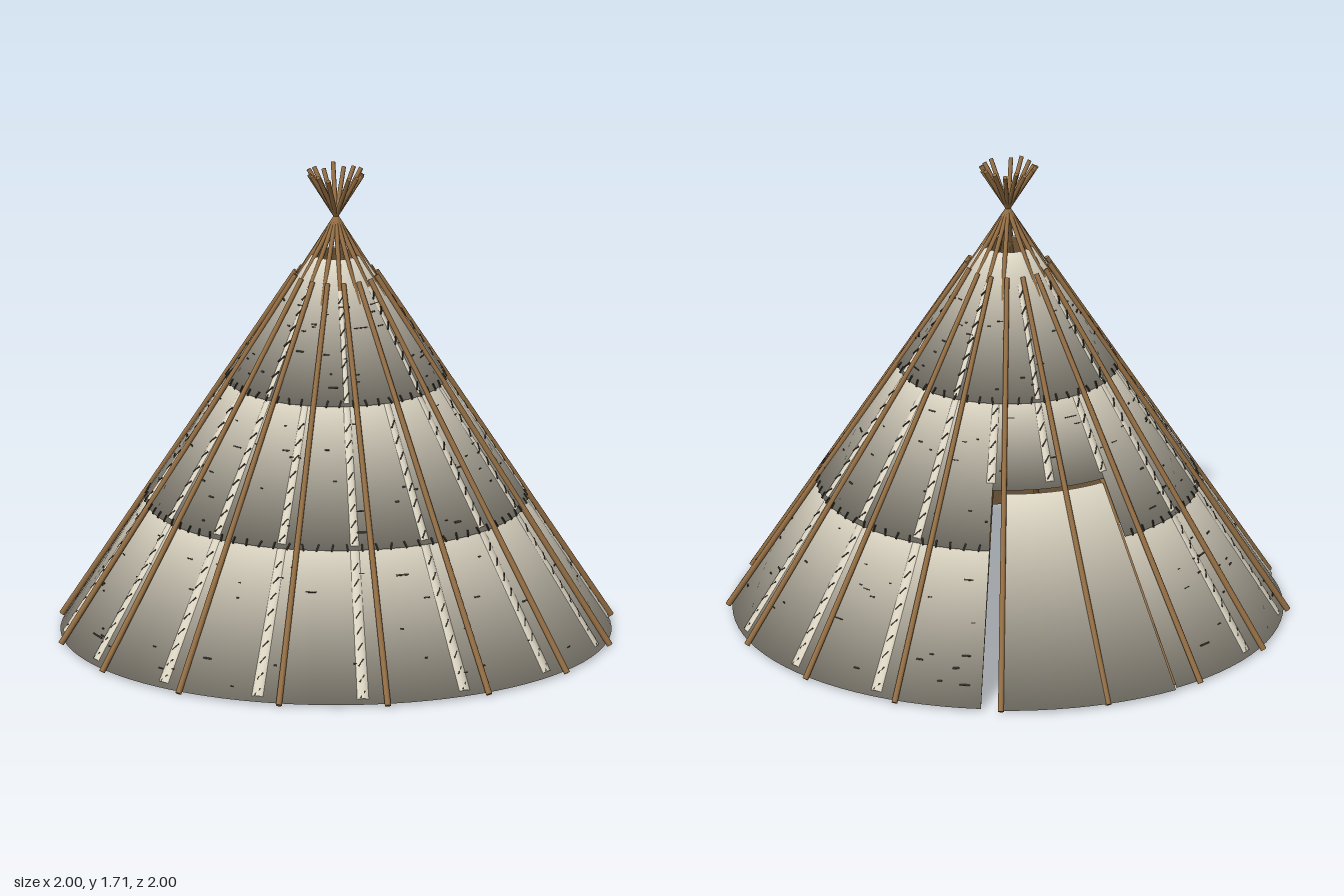
import * as THREE from 'three';
import { mergeGeometries } from 'three/addons/utils/BufferGeometryUtils.js';

const mat = (name, color) => Object.assign(new THREE.MeshStandardMaterial({ color }), { name });
const RAD = Math.PI / 180;
const STEP = 22.5;
const THICK = 0.012;
const SLOPE = Math.atan(0.64);

// Three overlapping rings of bark: bottom and top height, outward flare at the bottom
const TIERS = [
  { y0: 0.01, y1: 0.53, flare: 0, ticks: 0, flecks: 110, ridge: 0.034 },
  { y0: 0.495, y1: 0.97, flare: 0.01, ticks: 80, flecks: 100, ridge: 0.025 },
  { y0: 0.945, y1: 1.4, flare: 0.01, ticks: 52, flecks: 70, ridge: 0.015 },
];
const DOOR = { from: 162, to: 200.7, gap: 21.7, top: 0.665, lintel: 0.68 };

const coneR = (y) => 0.982 - 0.642 * (y - 0.01);
const tierR = (t, y) => coneR(y) + t.flare * (t.y1 - y) / (t.y1 - t.y0);
const polar = (deg, r, y) => new THREE.Vector3(r * Math.sin(deg * RAD), y, r * Math.cos(deg * RAD));

export function createModel() {
  const model = new THREE.Group();
  model.name = 'barkTent';
  const bark = mat('birch bark', 0xdcd5c3);
  const lining = mat('inner bark', 0xb08b5d);
  const wood = mat('pole wood', 0x956f44);
  const thread = mat('root stitching', 0x35302a);
  const fleck = mat('bark flecks', 0x3d372e);

  let seed = 7;
  const rand = () => (seed = (seed * 16807) % 2147483647) / 2147483647;

  const add = (name, geometry, material) => {
    const mesh = new THREE.Mesh(geometry, material);
    mesh.name = name;
    model.add(mesh);
  };

  // Curved bark sheet plus its brown inner face; the smooth normals roll over
  // the upper rim and under the lower rim (roll in degrees)
  const sheet = (name, r0, y0, r1, y1, from, to, roll) => {
    const v = (r, y) => new THREE.Vector2(r, y);
    const n = Math.max(8, Math.round((to - from) / 4));
    const a = from * RAD, len = (to - from) * RAD;
    const shell = new THREE.LatheGeometry(
      [v(r0 - THICK, y0), v(r0, y0), v(r1, y1), v(r1 - THICK, y1)], n, a, len);
    for (let i = 0; i <= n; i++) {
      [-roll, 60].forEach((tilt, j) => {
        const e = tilt * RAD;
        const d = polar((from + (to - from) * i / n), Math.cos(e), Math.sin(e));
        shell.attributes.normal.setXYZ(i * 4 + 1 + j, d.x, d.y, d.z);
      });
    }
    add(name, shell, bark);
    add(name + 'Lining', new THREE.LatheGeometry(
      [v(r1 - THICK, y1), v(r0 - THICK, y0)], n, a, len), lining);
  };

  // Round rod between two points
  const rod = (a, b, ra, rb) => {
    const dir = b.clone().sub(a);
    const g = new THREE.CylinderGeometry(rb, ra, dir.length(), 8);
    g.applyQuaternion(new THREE.Quaternion().setFromUnitVectors(
      new THREE.Vector3(0, 1, 0), dir.normalize()));
    return g.translate(...a.clone().add(b).multiplyScalar(0.5).toArray());
  };

  // Rounded ridge on a tier: only the outward arc of a sunken cylinder
  const ridge = (t, deg, y0, y1) => {
    const w0 = t.ridge, w1 = w0 * 0.75;
    const r0 = tierR(t, y0) - w0 * 0.95, r1 = tierR(t, y1) - w1 * 0.95;
    const g = new THREE.CylinderGeometry(w1, w0, Math.hypot(y1 - y0, r0 - r1), 8, 1, true,
      -42 * RAD, 84 * RAD);
    g.rotateX(-Math.atan2(r0 - r1, y1 - y0)).translate(0, (y0 + y1) / 2, (r0 + r1) / 2);
    return g.rotateY(deg * RAD);
  };

  // Small dash lying on a tier: w along the ring, h up the slope, turned by tilt
  const dash = (t, deg, y, w, h, tilt, lift) => {
    const g = new THREE.BoxGeometry(w, h, 0.006);
    g.rotateZ(tilt).rotateX(-SLOPE).rotateY(deg * RAD);
    return g.translate(...polar(deg, tierR(t, y) + lift, y).toArray());
  };
  const inDoorway = (deg, y) => Math.abs(deg - 180) < DOOR.gap + 1 && y < DOOR.lintel + 0.02;

  // Bark cover, open at the back for the doorway
  const [low, mid, top] = TIERS;
  const a0 = 180 + DOOR.gap, a1 = 540 - DOOR.gap;
  sheet('lowerCover', tierR(low, low.y0), low.y0, tierR(low, low.y1), low.y1, a0, a1, 38);
  sheet('middleCover', tierR(mid, mid.y0), mid.y0, tierR(mid, mid.y1), mid.y1, a0, a1, 50);
  sheet('lintelCover', tierR(mid, DOOR.lintel), DOOR.lintel, tierR(mid, mid.y1), mid.y1,
    180 - DOOR.gap, a0, 50);
  sheet('upperCover', tierR(top, top.y0), top.y0, tierR(top, top.y1), top.y1, 0, 360, 50);

  // Door flap, standing out slightly at the foot
  sheet('door', 1.0, 0.012, coneR(DOOR.top) + 0.006, DOOR.top, DOOR.from, DOOR.to, 38);

  // Outer poles resting on the cover, inner poles crossing at the top
  const outer = [], inner = [];
  for (let i = 0; i < 16; i++) {
    const d = i * STEP;
    const cut = rand() * 0.02;
    outer.push(rod(polar(d + 5, 0.997, 0.007), polar(d + 5, 0.147, 1.33), 0.011, 0.009));
    if (i !== 8) inner.push(rod(polar(d, 0.947, 0.007),
      polar(d, -0.105 + cut * 0.62, 1.71 - cut), 0.011, 0.008));
  }
  add('outerPoles', mergeGeometries(outer), wood);
  add('innerPoles', mergeGeometries(inner), wood);

  // Seams: rounded ridges with slanting stitches; rows of stitches along the hems
  const ridges = [], stitches = [], flecks = [];
  TIERS.forEach((t, k) => {
    const yEnd = k < 2 ? TIERS[k + 1].y0 : 1.3;
    for (let i = 0; i < 16; i += k === 2 ? 2 : 1) {
      const d = i * STEP;
      if (k === 0 && i === 8) continue;
      const start = inDoorway(d, t.y0) ? DOOR.lintel + 0.01 : t.y0 + 0.003;
      ridges.push(ridge(t, d, start, yEnd));
      for (let y = start + 0.03; y < yEnd - 0.02; y += 0.05)
        stitches.push(dash(t, d, y, 0.005, 0.032, -0.6, t.ridge * 0.06 + 0.002));
    }
    for (let i = 0; i < t.ticks; i++) {
      const d = (i + 0.5) * 360 / t.ticks;
      if (!inDoorway(d, t.y0))
        stitches.push(dash(t, d, t.y0 + 0.008, 0.005, 0.026, (rand() - 0.5) * 0.8, 0.001));
    }
    // Scattered horizontal flecks
    for (let i = 0; i < t.flecks; i++) {
      const d = rand() * 360;
      const y = t.y0 + 0.04 + rand() * (yEnd - t.y0 - 0.08);
      const w = 0.008 + rand() * rand() * 0.045;
      if (!inDoorway(d, y)) flecks.push(dash(t, d, y, w, 0.003 + rand() * 0.003, 0, 0));
    }
  });
  add('seamRidges', mergeGeometries(ridges), bark);
  add('stitches', mergeGeometries(stitches), thread);
  add('barkFlecks', mergeGeometries(flecks), fleck);
  return model;
}
